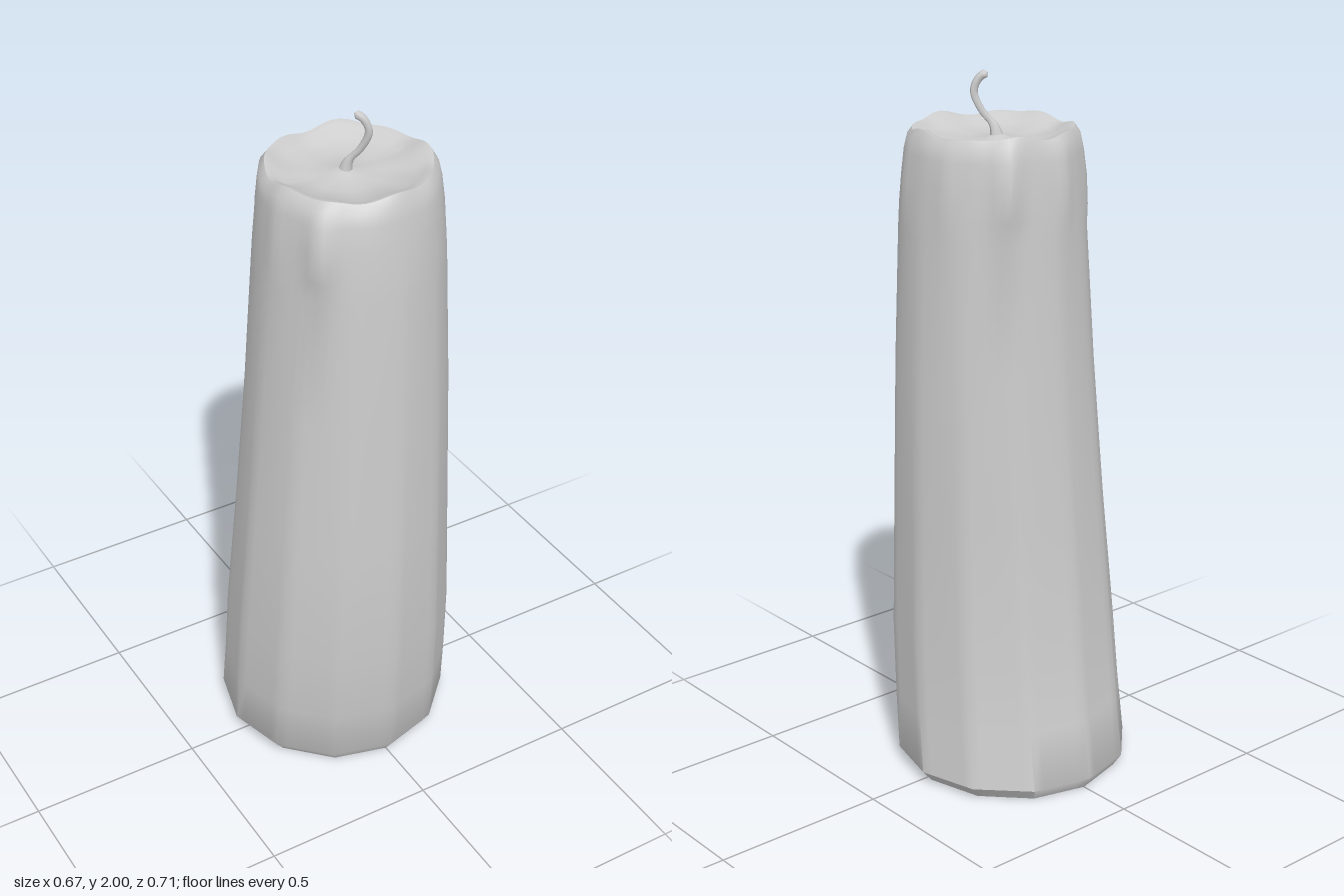
import * as THREE from 'three';
import { toCreasedNormals } from 'three/addons/utils/BufferGeometryUtils.js';

const SEGMENTS = 72;
const SIDES = 12;

// Cross-sections: y, xMin, xMax, zMin, zMax, drip strength, rim waviness, faceting
const RINGS = [
  [0.0, 0, 0, 0, 0, 0, 0, 0],
  [0.0, -0.305, 0.305, -0.335, 0.295, 0, 0, 1],
  [0.035, -0.335, 0.335, -0.357, 0.317, 0, 0, 1],
  [0.2, -0.335, 0.325, -0.328, 0.337, 0, 0, 1],
  [0.42, -0.335, 0.312, -0.296, 0.357, 0, 0, 1],
  [0.8, -0.302, 0.3, -0.265, 0.342, 0, 0, 0.7],
  [1.2, -0.27, 0.288, -0.236, 0.326, 0, 0, 0.4],
  [1.58, -0.243, 0.272, -0.215, 0.308, 0, 0, 0.2],
  [1.64, -0.238, 0.269, -0.212, 0.303, 0.6, 0, 0.1],
  [1.72, -0.23, 0.262, -0.205, 0.294, 1, 0, 0],
  [1.79, -0.224, 0.256, -0.197, 0.284, 0.7, 0.2, 0],
  [1.83, -0.217, 0.249, -0.19, 0.274, 0.4, 0.7, 0],
  [1.85, -0.2, 0.236, -0.178, 0.258, 0.2, 1, 0],
  [1.845, -0.182, 0.216, -0.16, 0.238, 0, 1, 0],
  [1.825, -0.16, 0.19, -0.135, 0.21, 0, 0.5, 0],
  [1.814, -0.09, 0.115, -0.07, 0.13, 0, 0.1, 0],
  [1.817, -0.025, 0.045, -0.01, 0.06, 0, 0, 0],
  [1.835, 0.013, 0.013, 0.028, 0.028, 0, 0, 0],
];

// Bulging wax runs: angle, width, depth
const DRIPS = [[2.4, 0.16, 0.034], [-1.02, 0.14, 0.03], [-1.75, 0.1, 0.008],
  [-2.35, 0.1, 0.008], [-0.35, 0.1, 0.008], [0.35, 0.1, 0.008], [3.0, 0.1, 0.008]];

function dripDepth(angle) {
  return DRIPS.reduce((sum, [centre, width, depth]) => {
    const d = Math.atan2(Math.sin(angle - centre), Math.cos(angle - centre));
    return sum + depth * Math.exp(-((d / width) ** 2));
  }, 0);
}

// Radius factor turning a circle into a regular polygon
function polygonFactor(angle) {
  const step = (2 * Math.PI) / SIDES;
  return Math.cos(step / 2) / Math.cos((((angle % step) + step) % step) - step / 2);
}

function createWaxGeometry() {
  const positions = [];
  const index = [];
  for (const [y, x0, x1, z0, z1, drip, wave, facet] of RINGS) {
    for (let j = 0; j < SEGMENTS; j++) {
      const a = (j / SEGMENTS) * Math.PI * 2;
      const f = 1 + facet * (polygonFactor(a) - 1);
      const bulge = drip * dripDepth(a);
      const ripple = wave * (0.006 * Math.sin(5 * a + 0.6) + 0.004 * Math.sin(9 * a));
      positions.push(
        (x0 + x1) / 2 + Math.cos(a) * (((x1 - x0) / 2) * f + bulge),
        y + ripple,
        (z0 + z1) / 2 + Math.sin(a) * (((z1 - z0) / 2) * f + bulge + ripple * 0.5),
      );
    }
  }
  const last = RINGS.length - 2;
  for (let i = 0; i <= last; i++) {
    for (let j = 0; j < SEGMENTS; j++) {
      const k = (j + 1) % SEGMENTS;
      const a = i * SEGMENTS + j, b = i * SEGMENTS + k;
      const c = a + SEGMENTS, d = b + SEGMENTS;
      if (i > 0) index.push(a, c, b);
      if (i < last) index.push(b, c, d);
      else index.splice(index.length - 3, 3, a, c, b);
    }
  }
  const geometry = new THREE.BufferGeometry();
  geometry.setAttribute('position', new THREE.Float32BufferAttribute(positions, 3));
  geometry.setIndex(index);
  return toCreasedNormals(geometry, 0.75);
}

// Curved wick, flared at its foot and closed at its tip
function createWickGeometry() {
  const curve = new THREE.CatmullRomCurve3([
    [0.012, 1.815, 0.028], [0.018, 1.85, 0.036], [0.04, 1.89, 0.06],
    [0.053, 1.94, 0.077], [0.042, 1.975, 0.07], [0.022, 1.992, 0.055],
  ].map((p) => new THREE.Vector3(...p)));
  const steps = 24, sides = 8;
  const geometry = new THREE.TubeGeometry(curve, steps, 0.01, sides, false);
  const pos = geometry.attributes.position;
  const v = new THREE.Vector3();
  for (let i = 0; i <= steps; i++) {
    const t = i / steps;
    const centre = curve.getPointAt(t);
    const scale = i === steps ? 0.01 : 0.8 + 1.2 * Math.max(0, 1 - t * 4) + 0.35 * t;
    for (let j = 0; j <= sides; j++) {
      const n = i * (sides + 1) + j;
      v.fromBufferAttribute(pos, n).sub(centre).multiplyScalar(scale).add(centre);
      pos.setXYZ(n, v.x, v.y, v.z);
    }
  }
  geometry.computeVertexNormals();
  return geometry;
}

export function createModel() {
  const group = new THREE.Group();
  group.name = 'candle';
  const material = new THREE.MeshStandardMaterial({ color: 0xcccccc });
  const wax = new THREE.Mesh(createWaxGeometry(), material);
  wax.name = 'waxBody';
  const wick = new THREE.Mesh(createWickGeometry(), material);
  wick.name = 'wick';
  group.add(wax, wick);
  return group;
}
